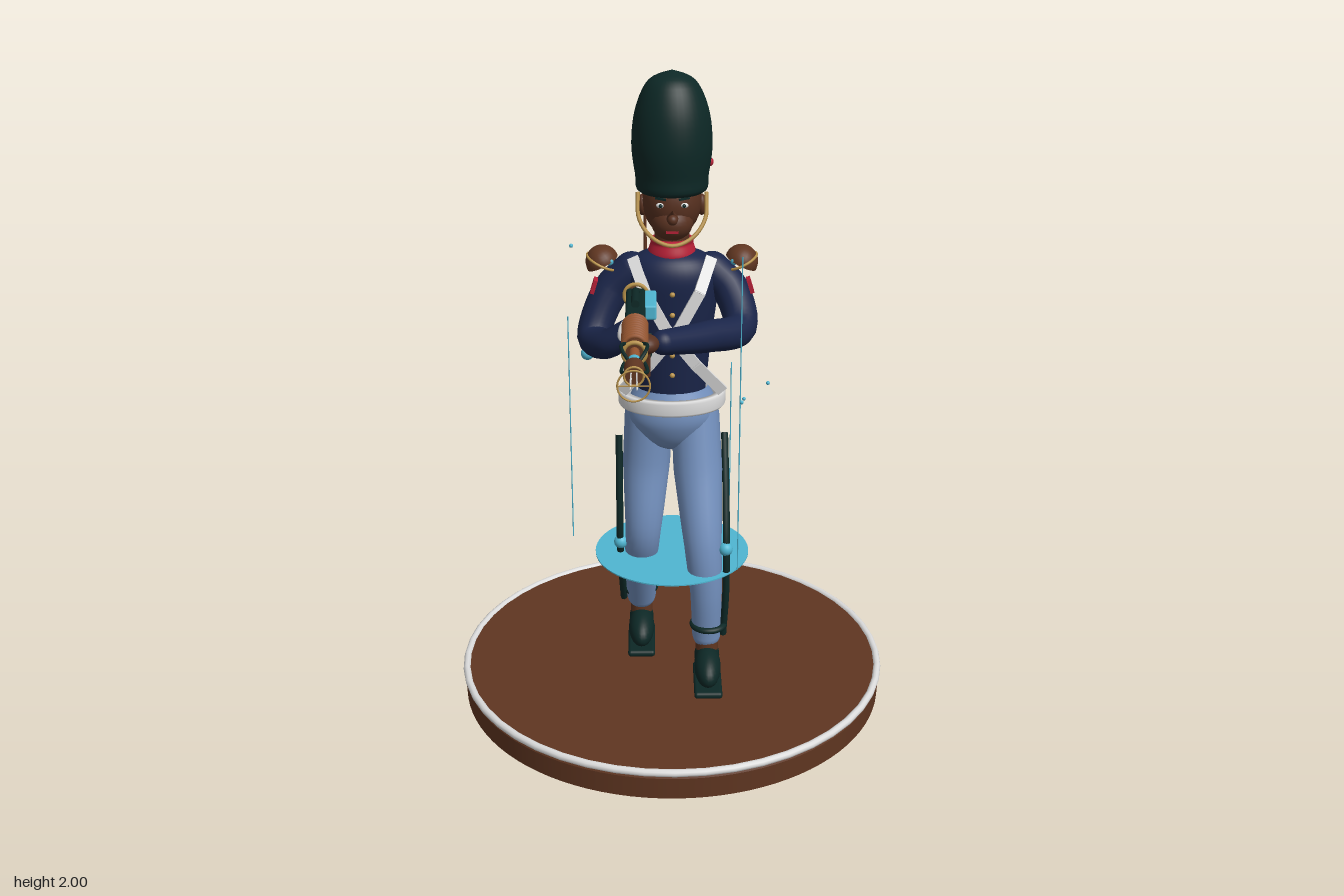
import * as THREE from 'three';
import { RoundedBoxGeometry } from 'three/addons/geometries/RoundedBoxGeometry.js';

const paint = (name, color) => {
  const m = new THREE.MeshStandardMaterial({ color });
  m.name = name;
  return m;
};

export function createModel() {
  const brown = paint('dark brown', 0x603621), copper = paint('copper', 0x95552f),
    green = paint('black green', 0x0d2826), navy = paint('navy', 0x1a2549),
    blue = paint('trouser blue', 0x728fbc), white = paint('strap white', 0xdcdcdc),
    cyan = paint('cyan', 0x4fb6d2), red = paint('red', 0xb51f36), gold = paint('gold', 0xb8924a);
  const skin = paint('skin', 0x583120);
  const model = new THREE.Group();
  const V = (p) => new THREE.Vector3(p[0], p[1], p[2]);
  const CZ = -0.085; // middle of the body and base

  const add = (name, geo, mat, pos = [0, 0, 0], rot = [0, 0, 0], scale = [1, 1, 1]) => {
    const m = new THREE.Mesh(geo, mat);
    m.name = name;
    m.position.set(...pos);
    m.rotation.set(...rot);
    m.scale.set(...scale);
    model.add(m);
    return m;
  };
  const ball = (name, mat, pos, r, rot) =>
    add(name, new THREE.SphereGeometry(1, 24, 16), mat, pos, rot, Array.isArray(r) ? r : [r, r, r]);
  const box = (name, mat, pos, size, rot, round = 0) =>
    add(name, round ? new RoundedBoxGeometry(...size, 3, round) : new THREE.BoxGeometry(...size), mat, pos, rot);
  const rod = (name, mat, a, b, r, r2 = r) => {
    const d = V(b).sub(V(a));
    const m = add(name, new THREE.CylinderGeometry(r2, r, d.length(), 16), mat);
    m.position.copy(V(a)).addScaledVector(d, 0.5);
    m.quaternion.setFromUnitVectors(new THREE.Vector3(0, 1, 0), d.normalize());
    return m;
  };
  const tube = (name, mat, pts, r) =>
    add(name, new THREE.TubeGeometry(new THREE.CatmullRomCurve3(pts.map(V)), 32, r, 8), mat);
  const ring = (name, mat, pos, r, t, rot, scale) =>
    add(name, new THREE.TorusGeometry(r, t, 10, 48), mat, pos, rot, scale);
  const lathe = (name, mat, pts, pos, scale) =>
    add(name, new THREE.LatheGeometry(new THREE.SplineCurve(pts.map((p) => new THREE.Vector2(...p))).getPoints(30)
      .map((p) => new THREE.Vector2(Math.max(p.x, 0), p.y)), 40), mat, pos, [0, 0, 0], scale);
  // Tapered limb through points [x, y, z, radius] with round ends
  const limb = (name, mat, pts) => {
    const curve = new THREE.CatmullRomCurve3(pts.map(V)), n = 28, sides = 20;
    const geo = new THREE.TubeGeometry(curve, n, 1, sides), pos = geo.attributes.position;
    const v = new THREE.Vector3();
    for (let i = 0; i <= n; i++) {
      const c = curve.getPointAt(i / n), t = curve.getUtoTmapping(i / n) * (pts.length - 1);
      const k = Math.min(Math.floor(t), pts.length - 2);
      const r = THREE.MathUtils.lerp(pts[k][3], pts[k + 1][3], t - k);
      for (let j = 0; j <= sides; j++) {
        const id = i * (sides + 1) + j;
        v.fromBufferAttribute(pos, id).sub(c).multiplyScalar(r).add(c);
        pos.setXYZ(id, v.x, v.y, v.z);
      }
    }
    add(name, geo, mat);
    [pts[0], pts[pts.length - 1]].forEach((p) => ball(name + 'End', mat, p.slice(0, 3), p[3] * 0.99));
  };

  // Display base
  add('base', new THREE.CylinderGeometry(0.678, 0.675, 0.07, 96), brown, [0, 0.035, CZ]);
  add('baseTop', new THREE.CylinderGeometry(0.668, 0.678, 0.02, 96), brown, [0, 0.08, CZ]);
  ring('baseRim', white, [0, 0.086, CZ], 0.672, 0.012, [Math.PI / 2, 0, 0]);

  // Energy disc, light rods and floating specks
  add('energyDisc', new THREE.CylinderGeometry(0.245, 0.245, 0.004, 64), cyan, [0, 0.47, CZ]);
  [[-0.315, CZ, 0.52, 1.26], [0.196, 0.168, 0.53, 1.52], [0.198, -0.38, 0.52, 1.0]].forEach(([x, z, a, b]) =>
    rod('lightRod', cyan, [x, a, z], [x, b, z], 0.0018));
  [[0.24, 0.88, -0.36], [0.05, 0.62, -0.46], [0.3, 1.02, -0.14], [0.06, 0.83, -0.37], [0.12, 1.3, -0.385],
    [0.2, 1.08, 0.17], [-0.3, 1.48, -0.09]].forEach((p) => ball('speck', cyan, p, 0.006));

  // Legs and boots
  limb('leftLeg', blue, [[0.072, 0.95, -0.08, 0.074], [0.08, 0.78, -0.03, 0.076], [0.095, 0.55, 0.048, 0.058],
    [0.105, 0.4, 0.058, 0.05], [0.108, 0.235, 0.045, 0.045]]);
  limb('rightLeg', blue, [[-0.072, 0.95, -0.09, 0.074], [-0.08, 0.78, -0.085, 0.074], [-0.092, 0.55, -0.055, 0.055],
    [-0.1, 0.42, -0.11, 0.052], [-0.1, 0.25, -0.195, 0.048]]);
  lathe('hips', blue, [[0, 0.82], [0.09, 0.86], [0.136, 0.93], [0.135, 0.99], [0.11, 1.04]], [0, 0, CZ], [1, 1, 0.8]);
  [[0.11, 0.05], [-0.1, -0.2]].forEach(([x, z]) => {
    const toe = z + (x > 0 ? 0.065 : 0.06);
    rod('ankle', brown, [x, 0.15, z], [x, 0.23, z], 0.036);
    ball('boot', green, [x, 0.155, toe - 0.005], [0.042, 0.048, 0.088], [0.2, 0, 0]);
    ball('bootHeel', green, [x, 0.16, z], [0.04, 0.058, 0.045]);
    box('sole', green, [x, 0.11, toe + 0.005], [0.088, 0.022, 0.2], [0, 0, 0], 0.01);
    ring('ankleRing', green, [x + Math.sign(x) * 0.004, 0.275, z], 0.05, 0.01, [Math.PI / 2, 0, 0]);
  });
  // Outer seam stripes with knee lights
  tube('leftStripe', green, [[0.165, 0.87, -0.1], [0.167, 0.7, 0.0], [0.167, 0.55, 0.065], [0.167, 0.4, 0.07], [0.16, 0.24, 0.055]], 0.011);
  tube('rightStripe', green, [[-0.165, 0.87, -0.09], [-0.165, 0.68, -0.06], [-0.165, 0.51, -0.06], [-0.163, 0.38, -0.12], [-0.158, 0.24, -0.19]], 0.011);
  ball('leftKneeLight', cyan, [0.165, 0.547, 0.065], 0.022);
  ball('rightKneeLight', cyan, [-0.163, 0.512, -0.06], 0.022);
  box('thighPouch', blue, [0.11, 0.71, -0.1], [0.03, 0.12, 0.045], [0.15, 0, 0], 0.01);

  // Jacket, belt and collar
  lathe('jacket', navy, [[0.1, 1.0], [0.106, 1.06], [0.118, 1.18], [0.136, 1.32], [0.14, 1.4], [0.11, 1.45], [0.05, 1.475]],
    [0, 0, CZ], [1, 1, 0.72]);
  add('belt', new THREE.LatheGeometry([[0.14, 0.978], [0.16, 0.978], [0.165, 0.985], [0.165, 1.018], [0.16, 1.026],
    [0.14, 1.026], [0.14, 0.978]].map((p) => new THREE.Vector2(...p)), 48), white, [0, 0, CZ], [0, 0, 0], [1, 1, 0.76]);
  lathe('collar', red, [[0.06, 1.445], [0.072, 1.46], [0.064, 1.49], [0.06, 1.505], [0, 1.505]], [0, 0, -0.09]);
  for (let i = 0; i < 5; i++) ball('button', gold, [0, 1.1 + i * 0.065, 0.001 + i * 0.004], 0.008);

  // Crossed straps, standing slightly off the chest
  [1, -1].forEach((s) => {
    const path = [[0.15, 1.045, -0.02], [0.07, 1.14, 0.018], [-0.02, 1.26, 0.038], [-0.08, 1.37, 0.03], [-0.115, 1.45, -0.05]];
    for (let i = 0; i < 4; i++) {
      const a = V(path[i]), b = V(path[i + 1]);
      a.x *= s; b.x *= s;
      const m = box('chestStrap', white, [0, 0, 0], [0.034, a.distanceTo(b) + 0.008, 0.012]);
      const up = b.clone().sub(a).normalize(), side = up.clone().cross(new THREE.Vector3(0, 0, 1)).normalize();
      m.quaternion.setFromRotationMatrix(new THREE.Matrix4().makeBasis(side, up, side.clone().cross(up)));
      m.position.copy(a.add(b).multiplyScalar(0.5));
    }
  });
  box('strapBuckle', gold, [0, 1.235, 0.045], [0.03, 0.03, 0.01]);

  // Arms, hands, shoulder caps and patches
  limb('leftArm', navy, [[0.12, 1.405, -0.09, 0.056], [0.175, 1.35, -0.07, 0.056], [0.2, 1.26, 0.02, 0.05],
    [0.1, 1.27, 0.13, 0.047], [-0.03, 1.295, 0.25, 0.036]]);
  limb('rightArm', navy, [[-0.12, 1.405, -0.09, 0.056], [-0.185, 1.34, -0.085, 0.056], [-0.235, 1.215, -0.03, 0.05],
    [-0.19, 1.22, 0.045, 0.045], [-0.125, 1.27, 0.07, 0.036]]);
  ball('leftHand', skin, [-0.08, 1.305, 0.29], [0.04, 0.028, 0.042]);
  ball('rightHand', skin, [-0.105, 1.28, 0.085], [0.03, 0.038, 0.035]);
  ring('rightCuff', white, [-0.135, 1.263, 0.068], 0.034, 0.008, [0, 1.0, 0]);
  ball('elbowLight', cyan, [-0.255, 1.165, -0.02], 0.02);
  [1, -1].forEach((s) => {
    add('shoulderCap', new THREE.SphereGeometry(0.05, 24, 10, 0, Math.PI * 2, 0, Math.PI / 2), brown,
      [s * 0.208, 1.43, -0.095], [0, 0, -s * 0.45], [1, 1, 1.15]);
    add('shoulderCapBase', new THREE.CylinderGeometry(0.05, 0.05, 0.006, 24), brown,
      [s * 0.208, 1.429, -0.095], [0, 0, -s * 0.45], [1, 1, 1.15]);
    ring('shoulderTrim', gold, [s * 0.208, 1.43, -0.095], 0.05, 0.004, [Math.PI / 2, s * 0.45, 0], [1, 1.15, 1]);
    ball('shoulderLight', cyan, [s * 0.185, 1.44, -0.06], 0.012);
    box('sleevePatch', red, [s * 0.232, 1.372, -0.04], [0.012, 0.042, 0.042], [0, 0, s * 0.3]);
  });

  // Head and face
  rod('neck', skin, [0, 1.44, -0.09], [0, 1.54, -0.09], 0.052);
  ball('head', skin, [0, 1.62, -0.09], [0.088, 0.11, 0.1]);
  ball('jaw', skin, [0, 1.565, -0.045], [0.062, 0.055, 0.066]);
  add('nose', new THREE.ConeGeometry(0.02, 0.075, 12), skin, [0, 1.605, 0.034], [0.95, 0, 0]);
  ball('noseTip', skin, [0, 1.595, 0.052], 0.015);
  box('mouth', red, [0, 1.55, 0.018], [0.036, 0.006, 0.008]);
  [1, -1].forEach((s) => {
    ball('ear', skin, [s * 0.088, 1.605, -0.09], [0.014, 0.032, 0.022]);
    ball('eye', white, [s * 0.034, 1.625, -0.001], [0.013, 0.008, 0.008]);
    ball('pupil', green, [s * 0.034, 1.625, 0.006], 0.0055);
    box('eyebrow', green, [s * 0.034, 1.645, 0.001], [0.032, 0.006, 0.008], [0, s * 0.3, s * 0.12]);
  });
  tube('chinStrap', gold, [[-0.1, 1.65, -0.06], [-0.097, 1.58, -0.03], [-0.06, 1.53, 0.0], [0, 1.508, 0.015],
    [0.06, 1.53, 0.0], [0.097, 1.58, -0.03], [0.1, 1.65, -0.06]], 0.006);

  // Tall fur hat
  lathe('furHat', green, [[0, 1.655], [0.095, 1.65], [0.108, 1.7], [0.118, 1.79], [0.106, 1.89], [0.068, 1.97], [0, 2.0]],
    [0, 0, CZ], [1, 1, 1.05]);
  ball('hatRosette', red, [0.108, 1.73, -0.1], 0.014);

  // Backpack with aerial
  box('backpack', brown, [0.008, 1.26, -0.24], [0.235, 0.24, 0.115], [0, 0, 0], 0.025);
  box('backpackTrim', gold, [0.008, 1.29, -0.299], [0.16, 0.008, 0.008]);
  rod('aerial', brown, [-0.08, 1.36, -0.265], [-0.08, 1.7, -0.265], 0.005, 0.004);
  rod('packHose', green, [0.06, 1.15, -0.2], [0.06, 1.06, -0.195], 0.009);
  ball('packLight', cyan, [0.06, 1.07, -0.2], 0.015);

  // Rifle along +z
  const GX = -0.107, GY = 1.365;
  const along = (name, mat, z0, z1, r, r2, y = GY) => rod(name, mat, [GX, y, z0], [GX, y, z1], r, r2);
  box('receiver', green, [GX, GY - 0.005, 0.18], [0.056, 0.07, 0.25], [0, 0, 0], 0.01);
  box('stock', brown, [GX, GY - 0.015, 0.025], [0.045, 0.065, 0.09], [0, 0, 0], 0.012);
  ring('stockRing', gold, [GX, GY, 0.035], 0.034, 0.006);
  box('powerCell', cyan, [GX + 0.042, GY + 0.005, 0.14], [0.035, 0.042, 0.15], [0, 0, 0], 0.006);
  along('sight', green, 0.12, 0.24, 0.012, 0.012, GY + 0.04);
  along('handguard', brown, 0.29, 0.52, 0.03, 0.026);
  for (let i = 0; i < 10; i++) ring('coil', copper, [GX, GY, 0.31 + i * 0.019], 0.031, 0.0065);
  along('barrel', copper, 0.5, 0.66, 0.014);
  along('barrelCell', cyan, 0.59, 0.63, 0.019);
  ring('barrelBand', gold, [GX, GY, 0.53], 0.03, 0.006);
  for (let i = 0; i < 4; i++) {
    const a = Math.PI / 4 + i * Math.PI / 2, p = (r, z) => [GX + r * Math.cos(a), GY + r * Math.sin(a), z];
    tube('barrelCage', green, [p(0.02, 0.5), p(0.046, 0.55), p(0.045, 0.59), p(0.015, 0.63)], 0.005);
    rod('muzzleProng', white, p(0.01, 0.69), p(0.012, 0.77), 0.002);
  }
  along('muzzle', brown, 0.63, 0.695, 0.026);
  ring('muzzleFrontRing', gold, [GX, GY, 0.7], 0.025, 0.003);
  ring('muzzleHoop', gold, [GX, GY, 0.768], 0.041, 0.0025);
  rod('muzzleCrossbar', gold, [GX - 0.041, GY, 0.768], [GX + 0.041, GY, 0.768], 0.002);
  box('magazine', brown, [-0.09, 1.22, 0.195], [0.05, 0.1, 0.04], [0.25, 0, 0], 0.008);
  rod('magazineWell', green, [-0.1, 1.34, 0.2], [-0.092, 1.25, 0.2], 0.02);
  rod('foreGrip', brown, [GX, 1.34, 0.35], [GX, 1.27, 0.36], 0.014);
  box('pistolGrip', brown, [GX, 1.285, 0.085], [0.032, 0.09, 0.036], [0.25, 0, 0], 0.008);
  tube('sling', green, [[GX, 1.325, 0.33], [GX + 0.02, 1.265, 0.25], [GX + 0.03, 1.215, 0.15], [GX + 0.04, 1.195, 0.06],
    [GX + 0.04, 1.24, 0.02]], 0.007);
  return model;
}
